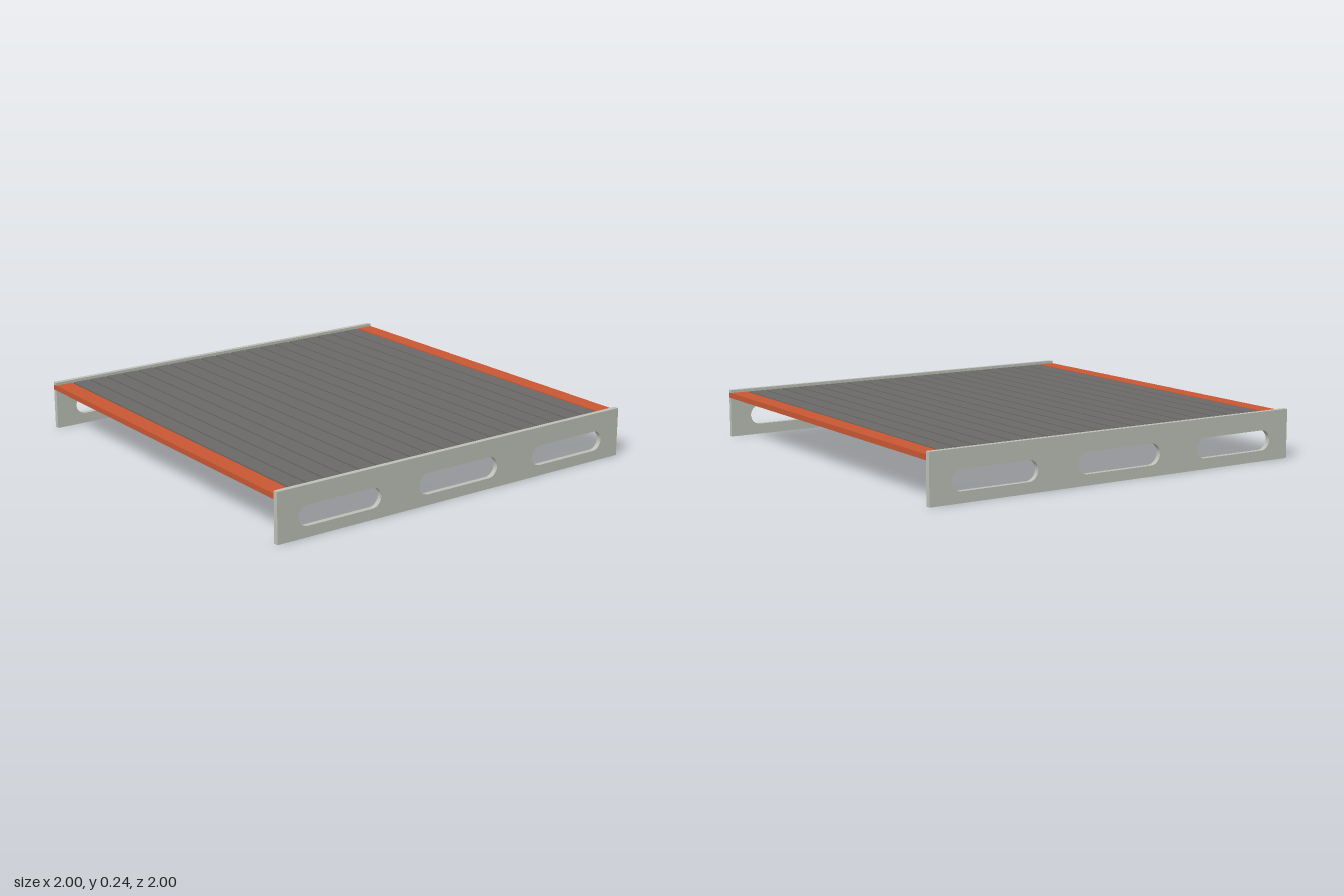
import * as THREE from 'three';

const PANEL_T = 0.025, INNER = 1 - PANEL_T;
const DECK_BOTTOM = 0.2, DECK_TOP = 0.226, GROOVE_Y = 0.214;

// Rounded slot outline, centred on (cx, cy)
function slot(cx, cy, w, h) {
  const p = new THREE.Path(), r = h * 0.49, s = w / 2 - r;
  p.absarc(cx + s, cy, r, -Math.PI / 2, Math.PI / 2, false);
  p.absarc(cx - s, cy, r, Math.PI / 2, Math.PI * 1.5, false);
  p.closePath();
  return p;
}

export function createModel() {
  const root = new THREE.Group();
  root.name = 'slattedPlatform';
  const panelMat = new THREE.MeshStandardMaterial({ color: 0xbcc0b6 });
  panelMat.name = 'pale grey green';
  const deckMat = new THREE.MeshStandardMaterial({ color: 0x6b6967 });
  deckMat.name = 'deck grey';
  const trimMat = new THREE.MeshStandardMaterial({ color: 0xc85733 });
  trimMat.name = 'orange trim';

  const box = (name, mat, x0, x1, y0, y1, z0, z1, parent = root) => {
    const m = new THREE.Mesh(new THREE.BoxGeometry(x1 - x0, y1 - y0, z1 - z0), mat);
    m.position.set((x0 + x1) / 2, (y0 + y1) / 2, (z0 + z1) / 2);
    m.name = name;
    parent.add(m);
  };

  // Side panels with three slots, extruded across their thickness
  const shape = new THREE.Shape();
  shape.moveTo(-0.999, 0).lineTo(0.999, 0).lineTo(0.999, 0.24).lineTo(-0.999, 0.24).closePath();
  shape.holes.push(slot(-0.667, 0.101, 0.445, 0.1), slot(0, 0.103, 0.46, 0.105), slot(0.667, 0.101, 0.445, 0.1));
  const panelGeo = new THREE.ExtrudeGeometry(shape, { depth: PANEL_T, bevelEnabled: false, curveSegments: 10 });
  panelGeo.rotateY(Math.PI / 2);
  for (const [name, x] of [['leftPanel', INNER], ['rightPanel', -1]]) {
    const panel = new THREE.Mesh(panelGeo, panelMat);
    panel.position.x = x;
    panel.name = name;
    root.add(panel);
  }

  // Deck base plate, then planks separated by narrow grooves
  box('deckBase', deckMat, -INNER, INNER, DECK_BOTTOM, GROOVE_Y, -0.997, 0.997);
  const planks = new THREE.Group();
  planks.name = 'planks';
  root.add(planks);
  const count = 19, pitch = 1.81 / count, gap = 0.01;
  for (let i = 0; i < count; i++) {
    const z = -0.905 + i * pitch;
    box('plank', deckMat, -INNER, INNER, GROOVE_Y, DECK_TOP, z + gap / 2, z + pitch - gap / 2, planks);
  }

  // Orange edge trim: a top strip and a thin nosing that runs across one panel end
  for (const [name, turn] of [['frontTrim', 0], ['backTrim', Math.PI]]) {
    const trim = new THREE.Group();
    trim.name = name;
    trim.rotation.y = turn;
    box('topStrip', trimMat, -INNER, INNER, GROOVE_Y, DECK_TOP, 0.911, 0.997, trim);
    box('nosing', trimMat, -INNER, INNER, DECK_BOTTOM, DECK_TOP, 0.997, 1, trim);
    box('nosingEnd', trimMat, -1, -INNER, DECK_BOTTOM, DECK_TOP, 0.999, 1, trim);
    root.add(trim);
  }
  return root;
}
